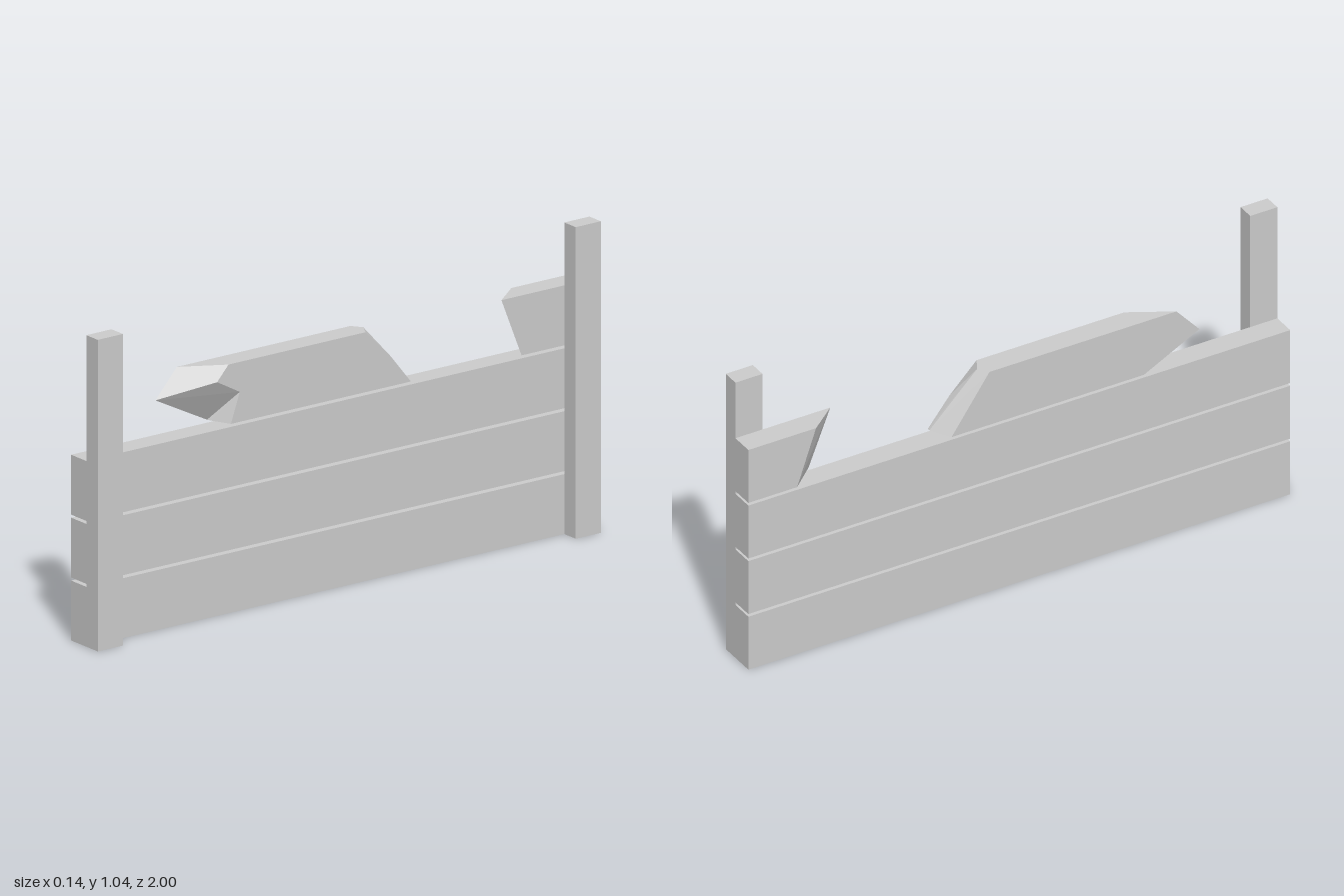
import * as THREE from 'three';

const material = new THREE.MeshStandardMaterial({ color: 0xcccccc, flatShading: true });

function add(group, name, geometry) {
  const mesh = new THREE.Mesh(geometry, material);
  mesh.name = name;
  group.add(mesh);
  return mesh;
}

// Box given by its minimum and maximum corners
function boxBetween(a, b) {
  const g = new THREE.BoxGeometry(b[0] - a[0], b[1] - a[1], b[2] - a[2]);
  return g.translate((a[0] + b[0]) / 2, (a[1] + b[1]) / 2, (a[2] + b[2]) / 2);
}

// Faceted solid: corner points plus polygons, each split as a fan from its first corner
function facetedSolid(points, faces) {
  const pos = [];
  for (const f of faces) {
    for (let i = 1; i < f.length - 1; i++) {
      pos.push(...points[f[0]], ...points[f[i]], ...points[f[i + 1]]);
    }
  }
  const g = new THREE.BufferGeometry();
  g.setAttribute('position', new THREE.Float32BufferAttribute(pos, 3));
  g.computeVertexNormals();
  return g;
}

export function createModel() {
  const group = new THREE.Group();
  group.name = 'brokenFence';

  const back = -0.07, front = 0.01; // plank faces across x
  const low = 0.63, high = 0.83;    // height of the broken top plank

  // Two end posts
  for (const s of [1, -1]) {
    add(group, s > 0 ? 'frontPost' : 'rearPost',
      boxBetween([front, 0, s * 0.95 - 0.05], [0.07, 1.04, s * 0.95 + 0.05]));
  }

  // Three whole planks with narrow gaps
  for (let i = 0; i < 3; i++) {
    add(group, 'plank' + (i + 1), boxBetween([back, i * 0.21, -1], [front, i * 0.21 + 0.2, 1]));
  }

  // Stump of the top plank, snapped on a slant
  add(group, 'brokenPlankStump', facetedSolid([
    [front, high, -0.65], [front, low, -0.73], [front, low, -1], [front, high, -1],
    [back, high, -0.75], [back, low, -0.82], [back, low, -1], [back, high, -1],
  ], [
    [0, 1, 2, 3], [4, 7, 6, 5], [0, 3, 7, 4], [1, 5, 6, 2], [0, 4, 5, 1], [3, 2, 6, 7],
  ]));

  // Loose middle piece of the top plank, splintered at both ends
  add(group, 'brokenPlankPiece', facetedSolid([
    // face on the post side
    [front, high, 0.435], [front, 0.78, 0.48], [front, 0.73, 0.39], [front, low, 0.425],
    [front, low, -0.29], [front, 0.73, -0.21], [front, high, -0.11],
    // opposite face
    [back, high, 0.58], [back, 0.735, 0.665], [back, low, 0.46],
    [back, low, -0.25], [back, high, -0.11],
    // splinter corners between the faces
    [-0.055, low, 0.455], [-0.035, high, -0.135], [0, low, -0.29],
  ], [
    [2, 3, 4, 5, 6, 0, 1], [7, 11, 10, 9, 8],           // sides
    [0, 6, 13, 11, 7], [9, 10, 14, 4, 3, 12],           // top and bottom
    [0, 7, 8, 1], [2, 1, 8, 9, 12], [2, 12, 3],         // front break
    [11, 13, 14, 10], [13, 6, 5, 4, 14],                // rear break
  ]));

  return group;
}
